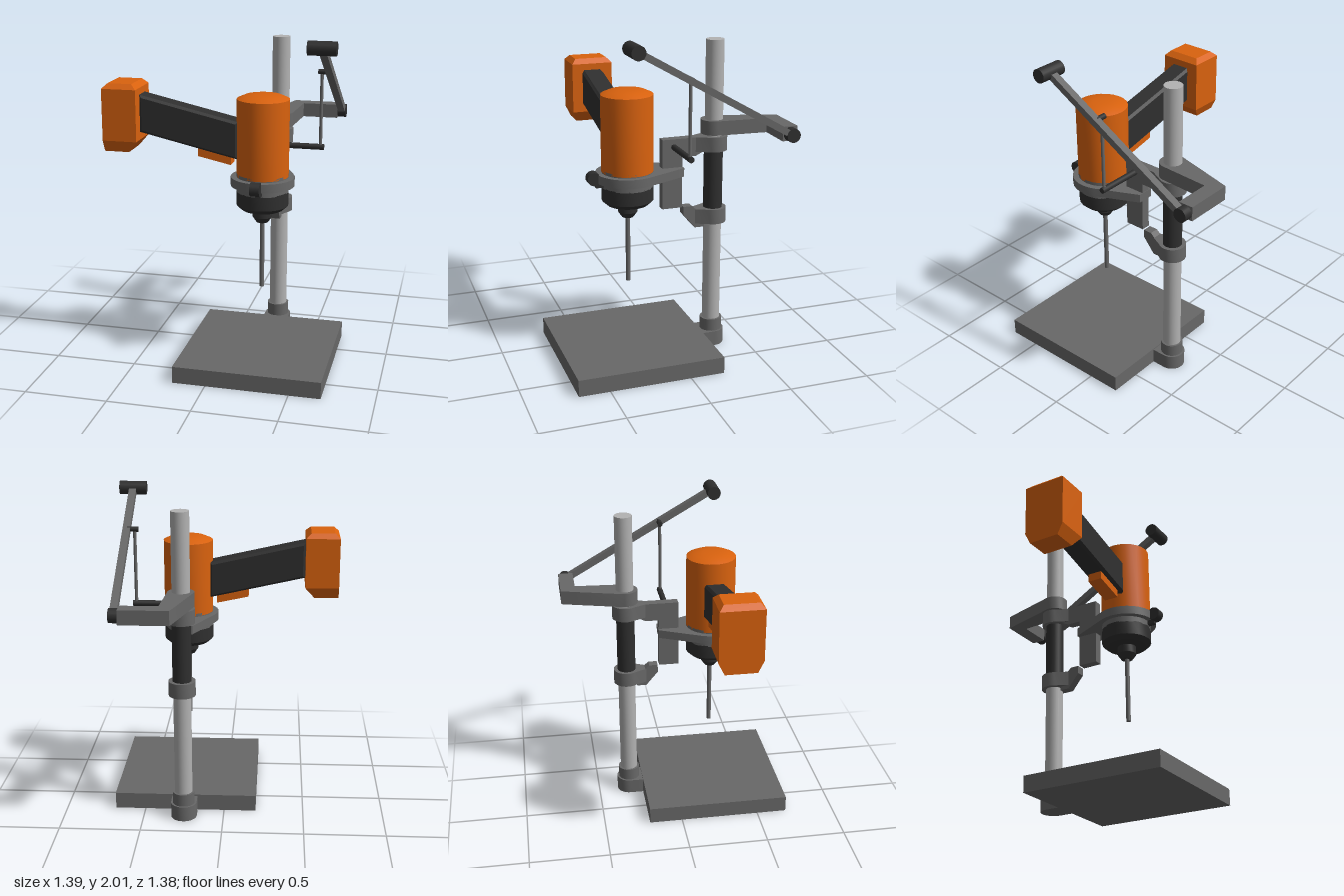
import * as THREE from 'three';
import { toCreasedNormals } from 'three/addons/utils/BufferGeometryUtils.js';

const paint = (name, color) => Object.assign(new THREE.MeshStandardMaterial({ color }), { name });

// Points [x, z] along an arc; angles in degrees, 90 points to the back
function arc(cx, cz, r, from, to, steps = 16) {
  return Array.from({ length: steps + 1 }, (_, i) => {
    const a = THREE.MathUtils.degToRad(from + (to - from) * i / steps);
    return [cx + r * Math.cos(a), cz - r * Math.sin(a)];
  });
}

const outline = pts => new THREE.Shape(pts.map(p => new THREE.Vector2(p[0], p[1])));
const extrude = (pts, depth) => new THREE.ExtrudeGeometry(outline(pts), { depth, bevelEnabled: false });

// Flat plate from [x, z] points, between two heights
function plate(pts, y0, y1) {
  const g = extrude(pts.map(([x, z]) => [x, -z]), y1 - y0);
  return toCreasedNormals(g.rotateX(-Math.PI / 2).translate(0, y0, 0), 0.4);
}

// Side profile from [z, y] points, extruded across x
const sideProfile = (pts, x0, x1) => extrude(pts, x1 - x0).rotateY(-Math.PI / 2).translate(x1, 0, 0);

// Turned part from [radius, y] points
const turned = (pts, x, z) => toCreasedNormals(
  new THREE.LatheGeometry(pts.map(p => new THREE.Vector2(p[0], p[1])), 24).translate(x, 0, z), 0.6);

const post = (r, y0, y1, x, z) => new THREE.CylinderGeometry(r, r, y1 - y0, 24).translate(x, (y0 + y1) / 2, z);
const crossbar = (r, x0, x1, y, z) =>
  new THREE.CylinderGeometry(r, r, x1 - x0, 20).rotateZ(Math.PI / 2).translate((x0 + x1) / 2, y, z);

// Faceted solid from rectangular sections [y, x0, x1, z0, z1], bottom to top
function sections(list) {
  const pos = [], idx = [];
  list.forEach(([y, x0, x1, z0, z1]) => pos.push(x0, y, z1, x1, y, z1, x1, y, z0, x0, y, z0));
  for (let s = 0; s < list.length - 1; s++) {
    for (let i = 0; i < 4; i++) {
      const a = s * 4 + i, b = s * 4 + (i + 1) % 4;
      idx.push(a, b, b + 4, a, b + 4, a + 4);
    }
  }
  const t = (list.length - 1) * 4;
  idx.push(0, 2, 1, 0, 3, 2, t, t + 1, t + 2, t, t + 2, t + 3);
  const g = new THREE.BufferGeometry();
  g.setAttribute('position', new THREE.Float32BufferAttribute(pos, 3));
  g.setIndex(idx);
  const flat = g.toNonIndexed();
  flat.computeVertexNormals();
  return flat;
}

export function createModel() {
  const model = new THREE.Group();
  model.name = 'drillPress';
  const orange = paint('orange', 0xd9620e);
  const grey = paint('grey', 0x686868);
  const steel = paint('steel', 0xb2b2b2);
  const black = paint('black', 0x2f2f2f);
  const add = (name, geometry, material) => {
    const mesh = new THREE.Mesh(geometry, material);
    mesh.name = name;
    model.add(mesh);
  };

  const cx = 0.248, colZ = -0.295, motZ = 0.25;
  const armX0 = 0.22, armX1 = 0.276;

  // Base and column
  add('base', new THREE.BoxGeometry(0.89, 0.103, 0.9).translate(0.245, 0.0515, 0.24), grey);
  add('baseBoss', plate([...arc(cx, colZ, 0.08, 0, 180), [cx - 0.08, -0.2], [cx + 0.08, -0.2]], 0, 0.095), grey);
  add('baseCollar', post(0.068, 0.09, 0.172, cx, colZ), grey);
  add('column', post(0.055, 0.05, 1.94, cx, colZ), steel);
  add('columnSleeve', post(0.058, 0.9, 1.275, cx, colZ), black);

  // Column clamps
  const clamp = [...arc(cx, colZ, 0.082, -40, 220, 24), [armX0, -0.17], [armX1, -0.17]];
  add('upperClamp', plate(clamp, 1.27, 1.36), grey);
  add('lowerClamp', plate(clamp, 0.815, 0.907), grey);
  add('lowerClampLug', sideProfile([[-0.095, 0.93], [-0.15, 0.93], [-0.23, 0.86], [-0.23, 0.79],
    [-0.17, 0.79], [-0.095, 0.88]], armX0, armX1), grey);

  // Slide arm carrying the motor holder
  add('slideArm', sideProfile([[0.04, 0.93], [0.04, 1.36], [-0.22, 1.36], [-0.22, 1.27],
    [-0.17, 1.245], [-0.085, 1.245], [-0.085, 0.93]], armX0, armX1), grey);
  add('motorHolder', plate([...arc(cx, motZ, 0.19, 25, -205, 20), [0.2, -0.088], [0.302, -0.088]], 1.132, 1.185), grey);
  add('clampKnob', crossbar(0.04, 0.22, 0.277, 1.16, 0.46), black);
  add('knobStem', new THREE.BoxGeometry(0.03, 0.05, 0.06).translate(cx + 0.012, 1.13, 0.42), black);

  // Drill body
  add('motorHousing', turned([[0, 1.19], [0.155, 1.19], [0.155, 1.65], [0.11, 1.67], [0.05, 1.676], [0, 1.677]], cx, motZ), orange);
  add('motorRing', post(0.155, 1.095, 1.205, cx, motZ), grey);
  add('gearCase', turned([[0, 0.985], [0.125, 0.985], [0.155, 1.012], [0.155, 1.1], [0, 1.1]], cx, motZ), black);
  add('chuck', turned([[0, 0.902], [0.035, 0.902], [0.058, 0.935], [0.058, 0.99], [0, 0.99]], cx, motZ), black);
  add('drillBit', post(0.014, 0.49, 0.91, cx, motZ), grey);

  // Side handle with trigger and battery
  const bevel = 0.015;
  add('handle', new THREE.ExtrudeGeometry(
    outline([[-0.49, 1.425], [0.11, 1.29], [0.11, 1.515], [-0.49, 1.65]]),
    { depth: 0.135 - 2 * bevel, bevelSize: bevel, bevelThickness: bevel, bevelOffset: -bevel, bevelSegments: 1 }
  ).translate(0, 0, 0.183 + bevel), black);
  add('trigger', extrude([[-0.135, 1.36], [-0.135, 1.295], [0.065, 1.252], [0.065, 1.32]], 0.09)
    .translate(0, 0, 0.205), orange);
  add('battery', sections([
    [1.307, -0.7, -0.548, 0.155, 0.345],
    [1.378, -0.7, -0.49, 0.12, 0.38],
    [1.69, -0.7, -0.49, 0.12, 0.38],
    [1.72, -0.668, -0.522, 0.148, 0.352],
  ]), orange);

  // Lever bracket on the column
  add('leverBracket', plate([...arc(cx, colZ, 0.08, 175, 365), [0.345, -0.598], [0.568, -0.598],
    [0.568, -0.69], [0.276, -0.69], [0.25, -0.6]], 1.373, 1.46), grey);
  add('leverPivot', crossbar(0.042, 0.565, 0.621, 1.415, -0.645), black);

  // Lever bar from the pivot up to the grip
  const rise = 1.965 - 1.415, run = 0.315 + 0.645;
  add('lever', new THREE.BoxGeometry(0.044, 0.04, Math.hypot(rise, run))
    .rotateX(-Math.atan2(rise, run)).translate(0.595, 1.69, -0.165), grey);
  add('leverGrip', crossbar(0.042, 0.512, 0.678, 1.963, 0.315), black);

  // Linkage from the lever to the slide arm
  add('upperLinkPin', crossbar(0.016, 0.524, 0.59, 1.773, -0.03), black);
  add('lowerLinkPin', crossbar(0.018, 0.27, 0.567, 1.312, -0.032), black);
  add('linkRod', post(0.01, 1.31, 1.775, 0.546, -0.03), grey);

  return model;
}
